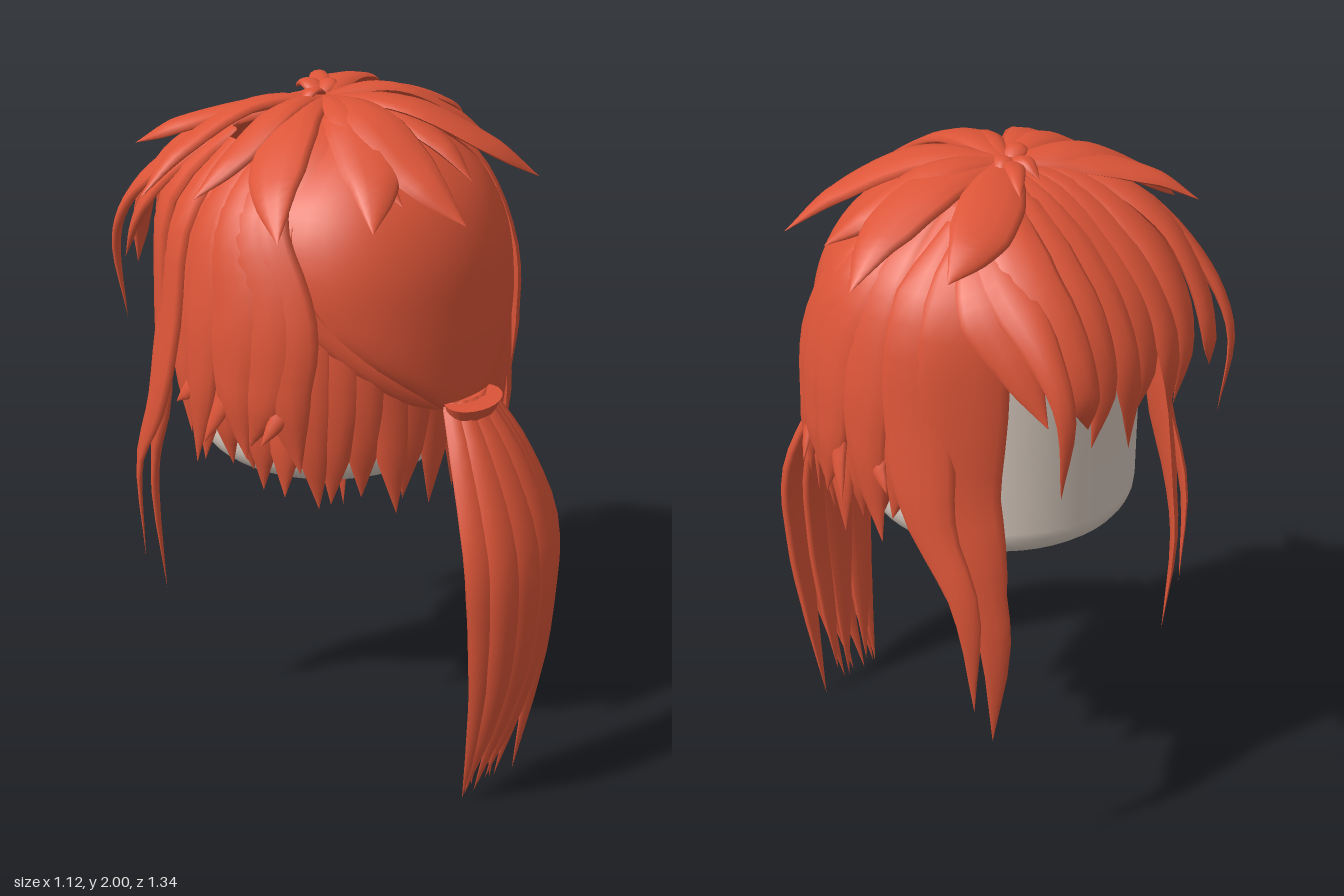
import * as THREE from 'three';

const V = (x, y, z) => new THREE.Vector3(x, y, z);
const lerp = THREE.MathUtils.lerp;

// value of a short list at t in 0..1
function sample(list, t) {
  const f = Math.min(Math.max(t, 0), 1) * (list.length - 1);
  const i = Math.min(Math.floor(f), list.length - 2);
  return lerp(list[i], list[i + 1], f - i);
}

// smooth surface from a rule fn(u, v)
function grid(nu, nv, fn) {
  const pos = [], idx = [];
  for (let i = 0; i <= nu; i++)
    for (let j = 0; j <= nv; j++) pos.push(...fn(i / nu, j / nv).toArray());
  for (let i = 0; i < nu; i++)
    for (let j = 0; j < nv; j++) {
      const a = i * (nv + 1) + j, c = a + nv + 1;
      idx.push(a, c, a + 1, a + 1, c, c + 1);
    }
  const g = new THREE.BufferGeometry();
  g.setAttribute('position', new THREE.Float32BufferAttribute(pos, 3));
  g.setIndex(idx);
  g.computeVertexNormals();
  return g;
}

// scalp: radius fraction by height, oval in plan, crown set towards the face
const PROFILE = new THREE.CatmullRomCurve3([
  [0, 1.96], [0.35, 1.93], [0.62, 1.86], [0.83, 1.75], [0.94, 1.62], [0.985, 1.46], [1, 1.3], [1, 1.12],
].map(([r, y]) => V(r, y, 0)));
const RX = 0.475, RZ = 0.405;
const centreZ = r => lerp(-0.13, -0.04, r);
function scalp(angle, s, lift = 0) {
  const p = PROFILE.getPoint(s), r = p.x;
  return V((RX * r + lift) * Math.sin(angle), p.y + lift * (1 - r), centreZ(r) + (RZ * r + lift) * Math.cos(angle));
}
// radius fraction at a height
function radiusAt(y) {
  let lo = 0, hi = 1;
  for (let k = 0; k < 20; k++) {
    const m = (lo + hi) / 2;
    if (PROFILE.getPoint(m).y > y) lo = m; else hi = m;
  }
  return PROFILE.getPoint(lo).x;
}
// point on the back of the scalp seen straight on
function backPoint(x, y, lift) {
  const r = radiusAt(y);
  return V(x, y, centreZ(r) + RZ * r * Math.sqrt(Math.max(0, 1 - (x / (RX * r)) ** 2)) + lift);
}

// a tapering lens-shaped lock of hair swept along points
function lockGeometry(points, width, thick, taper) {
  const curve = new THREE.CatmullRomCurve3(points);
  return grid(18, 10, (u, v) => {
    const p = curve.getPoint(u), t = curve.getTangent(u);
    const n = p.clone().sub(V(0, Math.min(p.y, 1.5), -0.05));
    n.addScaledVector(t, -n.dot(t)).normalize();
    const side = t.clone().cross(n);
    const w = sample(taper, u), a = v * Math.PI * 2, h = Math.sin(a);
    return p.addScaledVector(side, Math.cos(a) * w * width)
      .addScaledVector(n, h * thick * Math.min(1, w * 1.4) * (h > 0 ? 1 : 0.5));
  });
}

export function createModel() {
  const model = new THREE.Group();
  const hair = new THREE.MeshStandardMaterial({ color: 0xdd5538, side: THREE.DoubleSide });
  hair.name = 'red hair';
  const skin = new THREE.MeshStandardMaterial({ color: 0xd8cabe });
  skin.name = 'beige head';

  const add = (name, geo, mat = hair) => {
    const m = new THREE.Mesh(geo, mat);
    m.name = name;
    model.add(m);
    return m;
  };
  const lock = (name, pts, width, thick = 0.025, taper = [0.5, 0.9, 1, 0.8, 0.5, 0]) =>
    add(name, lockGeometry(pts, width, thick, taper));

  // head block: cylinder with rounded rims
  const outline = [V(0, 0.955, 0)];
  for (const [y, start] of [[1.045, -90], [1.68, 0]])
    for (let k = 0; k <= 6; k++) {
      const a = THREE.MathUtils.degToRad(start + k * 15);
      outline.push(V(0.295 + 0.09 * Math.cos(a), y + 0.09 * Math.sin(a), 0));
    }
  outline.push(V(0, 1.77, 0));
  add('head', new THREE.LatheGeometry(outline.map(p => new THREE.Vector2(p.x, p.y)), 48), skin).position.z = -0.125;

  // hair cap, cut high over the face
  add('hairCap', grid(72, 20, (u, v) => {
    const a = (u * 2 - 1) * Math.PI;
    const open = THREE.MathUtils.smoothstep(Math.abs(a), 2.0, 2.35);
    return scalp(a, v * lerp(0.95, 0.52, open));
  }));

  // swept-back panel gathered into the ponytail
  const halfWidths = [0.1, 0.24, 0.35, 0.395, 0.41, 0.4, 0.37, 0.3, 0.2, 0.09];
  add('sweptBackPanel', grid(28, 24, (u, v) => {
    const y = lerp(1.94, 1.22, v), q = u * 2 - 1;
    const x = q * Math.min(sample(halfWidths, v), 0.46 * radiusAt(y));
    return backPoint(x, y, 0.052 * Math.sqrt(1 - q ** 6));
  }));

  // pointed locks around the lower rim
  const RIM = 23;
  for (let i = 0; i < RIM; i++) {
    const k = i / (RIM - 1) * 2 - 1, a = k * 1.75;
    const drop = 0.91 + 0.05 * ((i * 7) % 5) / 4 + 0.12 * k * k;
    const tip = scalp(a + 0.04 * ((i % 3) - 1), 0.95, i % 4 === 0 ? 0.015 : -0.025).setY(drop);
    lock('rimLock', [scalp(a, 0.5, -0.018), scalp(a, 0.72, -0.004), scalp(a, 0.9, 0.002), tip],
      0.06, 0.02, [0.6, 1, 1, 1, 0.95, 0.7, 0]);
  }

  for (const s of [-1, 1]) {
    // raised edge of the swept-back panel
    lock('panelEdgeLock', [[0.36, 1.74], [0.4, 1.64], [0.38, 1.5], [0.28, 1.37], [0.17, 1.28], [0.08, 1.23]]
      .map(([x, y]) => backPoint(s * x, y, 0.014)), 0.03, 0.018, [0, 0.8, 1, 1, 1, 0.6]);
    // broad overlapping side locks: start angle, end angle, tip height
    [[1.3, 1.08, 1.08], [1.4, 1.22, 1.14], [1.55, 1.42, 1.1], [1.75, 1.72, 1.02], [1.97, 1.97, 1.1]].forEach(([a, b, y], i) => {
      lock('sideLock', [scalp(s * a, 0.22, 0.005), scalp(s * a, 0.46, 0.014), scalp(s * b, 0.68, 0.025),
        scalp(s * b, 0.86, 0.03), scalp(s * (b + (i % 2 ? 0.1 : -0.08)), 1, 0.035).setY(y)],
      0.088, 0.028, [0.4, 0.85, 1, 0.95, 0.7, 0]);
    });
    // small flicks at the temples
    for (const [a, y] of [[1.1, 1.17], [1.5, 1.13], [1.8, 1.2]])
      lock('sideFlick', [scalp(s * a, 0.72, 0.01), scalp(s * a, 0.88, 0.035), scalp(s * (a + 0.1), 0.95, 0.075).setY(y)], 0.035, 0.015);
    // long locks framing the face
    lock('longFaceLock', [V(s * 0.22, 1.9, -0.26), V(s * 0.375, 1.73, -0.35), V(s * 0.41, 1.45, -0.36),
      V(s * 0.42, 1.2, -0.355), V(s * 0.405, 0.98, -0.42), V(s * 0.39, 0.78, -0.465), V(s * 0.38, 0.445, -0.45)],
    0.12, 0.028, [0.4, 0.9, 1, 1, 0.9, 0.5, 0.33, 0]);
    lock('outerFaceLock', [V(s * 0.26, 1.88, -0.22), V(s * 0.425, 1.7, -0.25), V(s * 0.47, 1.4, -0.27),
      V(s * 0.485, 1.15, -0.32), V(s * 0.47, 0.92, -0.43), V(s * 0.455, 0.585, -0.45)],
    0.1, 0.025, [0.4, 0.9, 1, 0.9, 0.55, 0.33, 0]);
    // locks joining the fringe to the sides
    lock('templeLock', [V(s * 0.26, 1.87, -0.3), V(s * 0.36, 1.75, -0.41), V(s * 0.365, 1.63, -0.5),
      V(s * 0.35, 1.47, -0.6)], 0.085, 0.022, [0.5, 0.9, 1, 0.8, 0.5, 0]);
    // narrow lock at each end of the fringe
    lock('fringeEndLock', [V(s * 0.2, 1.92, -0.26), V(s * 0.31, 1.81, -0.4), V(s * 0.335, 1.68, -0.55),
      V(s * 0.34, 1.52, -0.645), V(s * 0.33, 1.27, -0.63)], 0.06, 0.022, [0.6, 1, 1, 0.65, 0.4, 0]);
  }

  // fringe: broad locks arching out over the face
  const fringeTips = [1.43, 1.37, 1.34, 1.4, 1.31, 1.37, 1.43];
  fringeTips.forEach((y, i) => {
    const x = (i - 3) * 0.085, bend = i % 2 ? 0.04 : -0.03;
    lock('fringeLock', [V(x * 0.3, 1.945, -0.17), V(x * 0.8, 1.895, -0.32), V(x * 1.05, 1.795, -0.46),
      V(x * 1.05, 1.67, -0.57), V(x, 1.53, -0.635 + 0.012 * (i % 2)), V(x + bend, y, -0.625)],
    0.08, 0.028, [0.5, 0.8, 1, 0.95, 0.75, 0.5, 0]);
  });

  // crown: leaf-shaped locks radiating from the top, tip and half width
  const crown = [
    [-0.38, 1.84, -0.49, 0.065], [-0.53, 1.76, -0.3, 0.075], [-0.5, 1.79, -0.12, 0.06], [-0.5, 1.75, 0.2, 0.085],
    [-0.3, 1.76, 0.34, 0.09], [-0.07, 1.75, 0.45, 0.085], [0.1, 1.8, 0.32, 0.06], [0.38, 1.75, 0.32, 0.09],
    [0.44, 1.79, 0.1, 0.065], [0.57, 1.77, -0.13, 0.085], [0.47, 1.83, -0.37, 0.085], [-0.18, 1.8, 0.33, 0.055],
  ];
  crown.forEach(([x, y, z, w], i) => {
    const top = V(0, 1.96, -0.14), tip = V(x, y, z);
    const near = top.clone().lerp(tip, 0.4).setY(1.94 + 0.008 * (i % 3));
    const far = top.clone().lerp(tip, 0.75).setY(lerp(1.95, y, 0.5));
    // slight sideways sweep
    const sway = V(-z - 0.14, 0, x).multiplyScalar(i % 2 ? 0.06 : -0.06);
    lock('crownLock', [top, near.add(sway), far.add(sway), tip], w, 0.024, [0.3, 0.75, 1, 0.95, 0.55, 0]);
  });
  // small tufts at the parting
  for (const [x, z] of [[-0.1, -0.12], [0.1, -0.2], [0.03, -0.28], [0.16, -0.33]])
    lock('crownTuft', [V(0, 1.96, -0.15), V(x * 0.5, 1.985, (z - 0.15) / 2), V(x, 1.955, z)], 0.03, 0.012);

  // ponytail tie
  const tie = add('ponytailTie', new THREE.CylinderGeometry(0.1, 0.08, 0.05, 24));
  tie.scale.z = 0.6;
  tie.position.set(0, 1.215, 0.425);
  tie.rotation.x = 0.15;

  // ponytail: bulge x, tip x, tip y, depth offset, half width
  const tail = [
    [-0.13, -0.1, 0.01, 0, 0.06], [-0.075, -0.09, 0.02, 0.03, 0.065], [-0.01, -0.05, 0.01, 0.04, 0.07],
    [0.06, 0.0, 0.03, 0.035, 0.065], [0.11, 0.04, 0.02, 0.008, 0.06], [0.16, 0.125, 0, -0.02, 0.06],
    [-0.09, -0.06, 0.04, -0.04, 0.065], [0, 0.02, 0.02, -0.045, 0.07], [0.08, 0.07, 0.07, -0.04, 0.065],
  ];
  for (const [bx, tx, ty, dz, w] of tail)
    lock('ponytailLock', [V(bx * 0.4, 1.23, 0.4 + dz * 0.4), V(bx * 0.75, 1.06, 0.505 + dz * 0.8),
      V(bx, 0.84, 0.59 + dz), V(lerp(bx, tx, 0.25), 0.6, 0.6 + dz), V(lerp(bx, tx, 0.6), 0.33, 0.57 + dz * 0.7),
      V(tx, ty, 0.512)], w, 0.03, [0.6, 0.85, 1, 1, 0.85, 0.5, 0]);

  return model;
}
